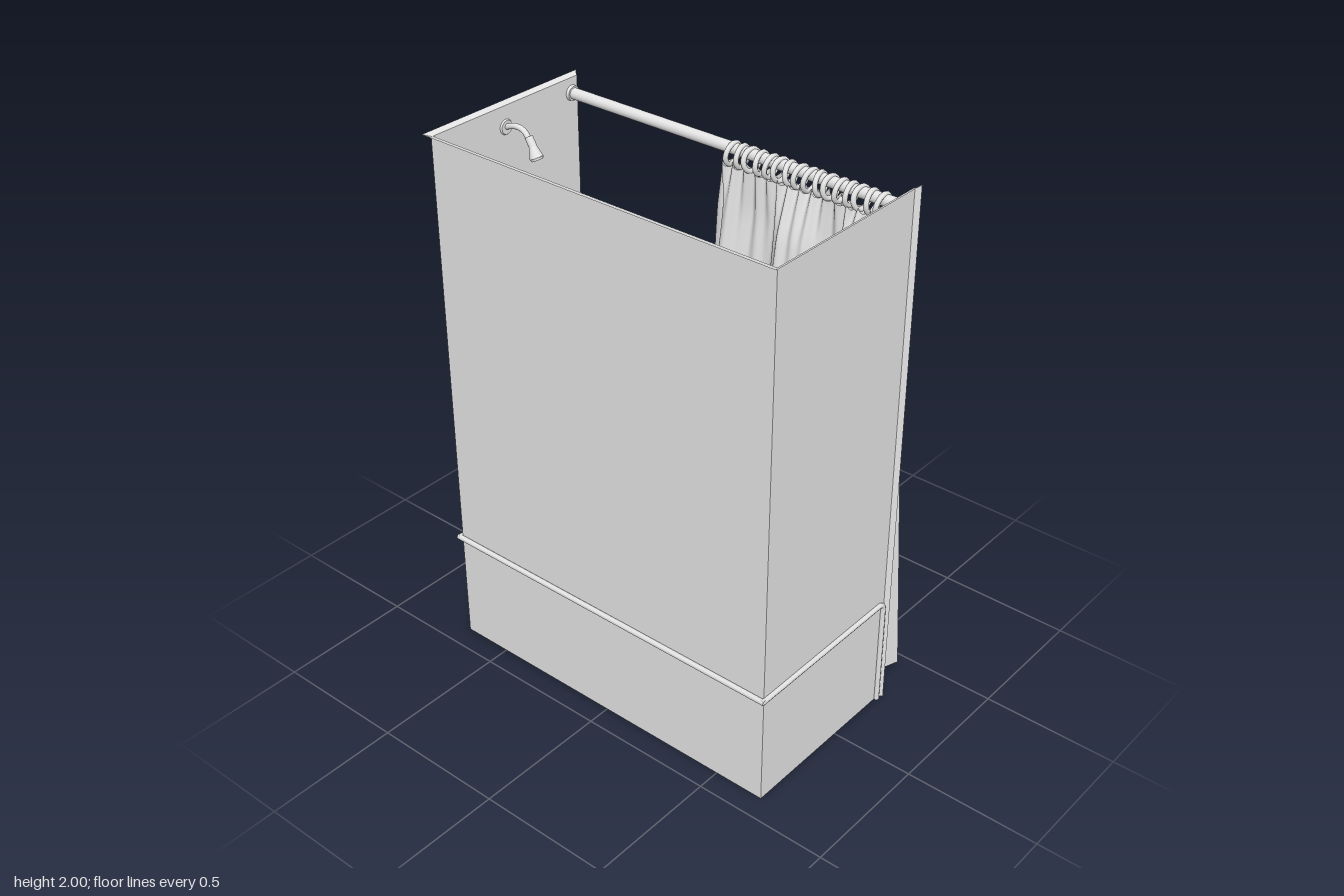
import * as THREE from 'three';
import { toCreasedNormals } from 'three/addons/utils/BufferGeometryUtils.js';

const white = new THREE.MeshStandardMaterial({ color: 0xe4e4e4, side: THREE.DoubleSide });
white.name = 'plainWhite';
const V = (x, y, z) => new THREE.Vector3(x, y, z);

function add(parent, name, geo, x = 0, y = 0, z = 0) {
  const m = new THREE.Mesh(geo, white);
  m.name = name;
  m.position.set(x, y, z);
  parent.add(m);
  return m;
}

// Box given by its limits
function block(parent, name, x0, x1, y0, y1, z0, z1) {
  return add(parent, name, new THREE.BoxGeometry(x1 - x0, y1 - y0, z1 - z0),
    (x0 + x1) / 2, (y0 + y1) / 2, (z0 + z1) / 2);
}

// Cylinder or cone between two points
function rod(parent, name, a, b, ra, rb = ra, sides = 24) {
  const d = b.clone().sub(a);
  const m = add(parent, name, new THREE.CylinderGeometry(rb, ra, d.length(), sides));
  m.position.copy(a).addScaledVector(d, 0.5);
  m.quaternion.setFromUnitVectors(V(0, 1, 0), d.normalize());
  return m;
}

// Surface through rows of points; every row has the same length
function loft(rows, closed) {
  const n = rows[0].length, pos = [], idx = [];
  rows.forEach(r => r.forEach(p => pos.push(p.x, p.y, p.z)));
  for (let j = 0; j < rows.length - 1; j++) {
    for (let i = 0; i < (closed ? n : n - 1); i++) {
      const a = j * n + i, b = j * n + (i + 1) % n;
      idx.push(a, a + n, b, b, a + n, b + n);
    }
  }
  const g = new THREE.BufferGeometry();
  g.setAttribute('position', new THREE.Float32BufferAttribute(pos, 3));
  g.setIndex(idx);
  g.computeVertexNormals();
  return g;
}

// Horizontal rounded rectangle loop
function roundedLoop(x0, x1, z0, z1, r, y) {
  const out = [];
  const corners = [[x1 - r, z1 - r], [x0 + r, z1 - r], [x0 + r, z0 + r], [x1 - r, z0 + r]];
  corners.forEach(([cx, cz], k) => {
    for (let i = 0; i <= 6; i++) {
      const a = (k + i / 6) * Math.PI / 2;
      out.push(V(cx + r * Math.cos(a), y, cz + r * Math.sin(a)));
    }
  });
  return out;
}

// Hanging cloth: gathered at the rail, its folds widening to a bottom line of [x, z]
function curtain(bottom, yTop, yBottom, zStart, zEnd, xTop, xMid) {
  const line = new THREE.CatmullRomCurve3(bottom.map(([x, z]) => V(x, 0, z)), false, 'centripetal');
  const rows = [];
  for (let j = 0; j <= 32; j++) {
    const t = (j / 32) ** 1.4, row = [];
    for (let i = 0; i <= 160; i++) {
      const u = i / 160, p = line.getPoint(u), wave = u * 14 * Math.PI * 2;
      const spread = THREE.MathUtils.lerp(Math.sqrt(t), t, Math.min(1, u * 2));
      const xUpper = xTop + (p.x - xMid) * 0.5 * Math.min(1, t * 10);
      row.push(V(
        THREE.MathUtils.lerp(xUpper, p.x, t) + Math.sin(wave) * 0.012 * (1 - t) ** 8,
        THREE.MathUtils.lerp(yTop + 0.012 * Math.cos(wave) * (1 - t) ** 16, yBottom, t),
        THREE.MathUtils.lerp(THREE.MathUtils.lerp(zStart, zEnd, u), p.z, spread)));
    }
    rows.push(row);
  }
  return loft(rows, false);
}

export function createModel() {
  const model = new THREE.Group();
  model.name = 'showerBath';

  // Surround walls
  const walls = new THREE.Group();
  walls.name = 'surroundWalls';
  model.add(walls);
  block(walls, 'longWall', -0.415, -0.411, 0, 1.99, -0.69, 0.69);
  block(walls, 'frontWall', -0.415, 0.255, 0, 1.99, 0.686, 0.69);
  block(walls, 'backWall', -0.415, 0.255, 0, 1.99, -0.69, -0.686);

  // Flared edge running up the open ends and around the top
  const edge = (x0, x1, y, z) => [V(x1, 0, z), V(x1, y, z), V(x0, y, z), V(x0, y, -z), V(x1, y, -z), V(x1, 0, -z)];
  add(walls, 'flaredEdge', toCreasedNormals(
    loft([edge(-0.415, 0.255, 1.99, 0.688), edge(-0.44, 0.27, 2, 0.705)], false), 0.4));

  // Bathtub shell from rim loops down to the floor, open underneath
  const shell = [
    [-0.414, 0.255, -0.689, 0.689, 0.01, 0],
    [-0.414, 0.255, -0.689, 0.689, 0.01, 0.412],
    [-0.412, 0.251, -0.687, 0.687, 0.01, 0.428],
    [-0.405, 0.243, -0.684, 0.684, 0.012, 0.437],
    [-0.395, 0.23, -0.675, 0.675, 0.012, 0.44],
    [-0.368, 0.198, -0.645, 0.642, 0.06, 0.44],
    [-0.358, 0.188, -0.634, 0.632, 0.055, 0.434],
    [-0.353, 0.183, -0.628, 0.622, 0.055, 0.415],
    [-0.33, 0.16, -0.603, 0.5, 0.06, 0.18],
    [-0.315, 0.145, -0.588, 0.465, 0.06, 0.14],
    [-0.28, 0.11, -0.555, 0.43, 0.06, 0.12],
    [-0.085, -0.085, -0.06, -0.06, 0, 0.12],
  ].map(a => roundedLoop(...a));
  add(model, 'bathtub', toCreasedNormals(loft(shell, true), 0.75));

  // Rim bead showing on the outside of the walls
  const bead = new THREE.CurvePath();
  bead.add(new THREE.LineCurve3(V(-0.43, 0.43, 0), V(0.22, 0.43, 0)));
  bead.add(new THREE.QuadraticBezierCurve3(V(0.22, 0.43, 0), V(0.245, 0.43, 0), V(0.245, 0.405, 0)));
  bead.add(new THREE.LineCurve3(V(0.245, 0.405, 0), V(0.245, 0, 0)));
  for (const s of [-1, 1]) add(model, 'endBead', new THREE.TubeGeometry(bead, 80, 0.01, 8), 0, 0, s * 0.694);
  rod(model, 'longBead', V(-0.425, 0.43, -0.7), V(-0.425, 0.43, 0.7), 0.01, 0.01, 8);

  // Drain with crossed bars, and the stopper disc beside it
  const drain = new THREE.Group();
  drain.name = 'drain';
  drain.position.set(-0.09, 0.125, -0.455);
  model.add(drain);
  add(drain, 'drainRing', new THREE.TorusGeometry(0.018, 0.004, 8, 24).rotateX(Math.PI / 2));
  for (const k of [0, 1, 2]) {
    add(drain, 'drainBar', new THREE.BoxGeometry(0.036, 0.004, 0.005)).rotation.y = k * Math.PI / 3;
  }
  add(drain, 'drainBox', new THREE.BoxGeometry(0.05, 0.02, 0.05), 0, -0.018, 0);
  rod(model, 'stopper', V(-0.09, 0.118, -0.395), V(-0.09, 0.127, -0.395), 0.037, 0.037, 32);

  // Shelf
  block(model, 'shelf', -0.25, 0.075, 1.2, 1.22, -0.688, -0.583);

  // Shower arm and head
  const cx = -0.09;
  const shower = new THREE.Group();
  shower.name = 'shower';
  model.add(shower);
  rod(shower, 'armFlange', V(cx, 1.915, -0.691), V(cx, 1.915, -0.68), 0.03, 0.024);
  const arm = new THREE.CatmullRomCurve3([V(cx, 1.915, -0.69), V(cx, 1.93, -0.64), V(cx, 1.925, -0.605), V(cx, 1.895, -0.575)]);
  add(shower, 'arm', new THREE.TubeGeometry(arm, 20, 0.01, 12));
  rod(shower, 'headNeck', V(cx, 1.91, -0.583), V(cx, 1.88, -0.565), 0.014, 0.014);
  rod(shower, 'headCone', V(cx, 1.885, -0.568), V(cx, 1.845, -0.551), 0.012, 0.024);
  rod(shower, 'headFace', V(cx, 1.845, -0.551), V(cx, 1.837, -0.547), 0.024, 0.02);

  // Taps: two on oval plates and a round one between
  for (const [dx, oval] of [[-0.11, 1.5], [0, 1], [0.11, 1.5]]) {
    const tap = new THREE.Group();
    tap.name = 'tap';
    tap.position.set(cx + dx, 0.69, -0.691);
    model.add(tap);
    rod(tap, 'tapPlate', V(0, 0, 0), V(0, 0, 0.015), 0.034, 0.028).scale.z = oval;
    rod(tap, 'tapStem', V(0, 0, 0.01), V(0, 0, 0.045), 0.02, 0.012);
    rod(tap, 'tapHandle', V(0, 0, 0.04), V(0, 0, 0.07), 0.018, 0.03, 12);
    rod(tap, 'tapCap', V(0, 0, 0.07), V(0, 0, 0.077), 0.03, 0.02, 12);
  }

  // Spout
  rod(model, 'spoutFlange', V(cx, 0.595, -0.691), V(cx, 0.595, -0.68), 0.03, 0.027);
  rod(model, 'spoutBody', V(cx, 0.595, -0.685), V(cx, 0.603, -0.565), 0.026, 0.018);
  rod(model, 'spoutTip', V(cx, 0.613, -0.567), V(cx, 0.573, -0.557), 0.018, 0.016);

  // Curtain rail with end flanges
  const rx = 0.227, ry = 1.935;
  rod(model, 'curtainRail', V(rx, ry, -0.69), V(rx, ry, 0.69), 0.02);
  for (const s of [-1, 1]) rod(model, 'railFlange', V(rx, ry, s * 0.688), V(rx, ry, s * 0.675), 0.028, 0.026);

  // Curtain rings, slightly twisted
  for (let i = 0; i < 16; i++) {
    const ring = add(model, 'curtainRing', new THREE.TorusGeometry(0.036, 0.009, 8, 24), 0.222, 1.919, 0.6 - i * 0.0387);
    ring.rotation.y = 0.14 * Math.sin(i * 2.3);
    ring.rotation.x = 0.12 * Math.cos(i * 1.7);
  }

  // Outer curtain hangs outside the tub, the liner inside it
  add(model, 'outerCurtain', curtain([
    [0.4, 0.675], [0.325, 0.64], [0.31, 0.57], [0.33, 0.5], [0.315, 0.42], [0.36, 0.375], [0.43, 0.365],
    [0.43, 0.335], [0.33, 0.32], [0.315, 0.27], [0.34, 0.22], [0.43, 0.205], [0.43, 0.175], [0.34, 0.15],
    [0.32, 0.09], [0.345, 0.02], [0.335, -0.05], [0.315, -0.12], [0.312, -0.2],
  ], 1.895, 0.058, 0.625, -0.03, 0.24, 0.35));
  add(model, 'innerLiner', curtain([
    [0.14, 0.58], [0.05, 0.55], [-0.02, 0.5], [0.03, 0.455], [0.1, 0.44], [0.1, 0.38], [0.03, 0.365],
    [-0.005, 0.33], [0.005, 0.27], [-0.005, 0.21], [0.06, 0.195], [0.11, 0.18], [0.1, 0.1], [0.11, 0.03],
    [0.07, -0.01], [0.04, -0.065], [0.13, -0.06],
  ], 1.89, 0.25, 0.615, -0.01, 0.205, 0.06));

  return model;
}
